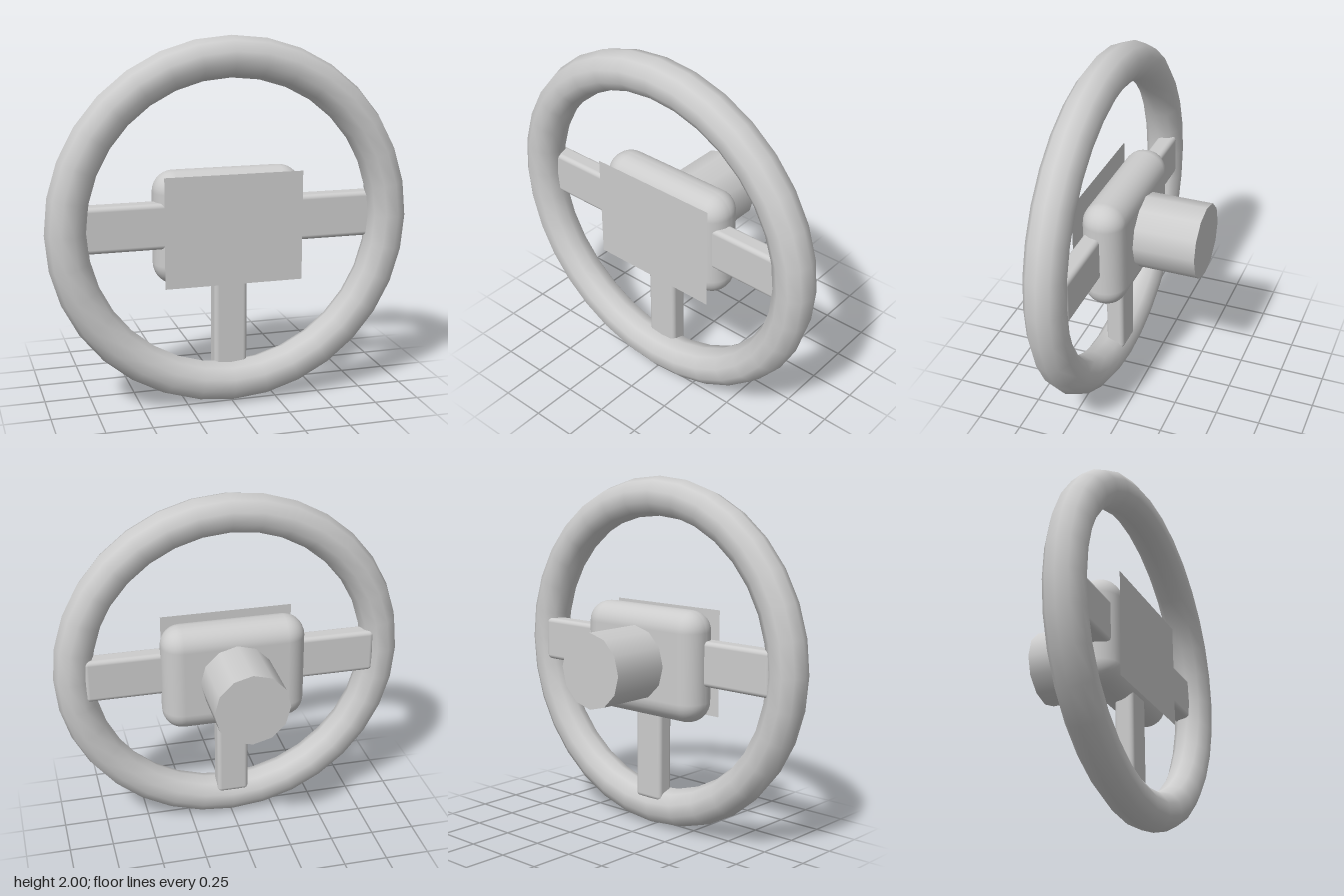
import * as THREE from 'three';
import { RoundedBoxGeometry } from 'three/addons/geometries/RoundedBoxGeometry.js';

export function createModel() {
  const group = new THREE.Group();
  group.name = 'steeringWheel';

  const grey = new THREE.MeshStandardMaterial({ color: 0xcccccc, side: THREE.DoubleSide });
  grey.name = 'light grey';

  const add = (name, geometry, x, y, z) => {
    const mesh = new THREE.Mesh(geometry, grey);
    mesh.name = name;
    mesh.position.set(x, y, z);
    group.add(mesh);
    return mesh;
  };

  const rimZ = 0.225;
  const hubY = 0.98;
  const spokeZ = 0.183;

  // Rim
  add('rim', new THREE.TorusGeometry(0.89, 0.11, 10, 32), 0, 1, rimZ);

  // Hub with a thin flat pad in front of it
  add('hub', new RoundedBoxGeometry(0.82, 0.62, 0.24, 4, 0.115), 0, hubY, 0.14);
  add('hubPad', new THREE.PlaneGeometry(0.76, 0.6), 0, hubY, 0.295);

  // Two side spokes, running from inside the hub to inside the rim
  for (const side of [-1, 1]) {
    add(side > 0 ? 'leftSpoke' : 'rightSpoke',
      new RoundedBoxGeometry(0.6, 0.25, 0.105, 3, 0.025), side * 0.535, 1.005, spokeZ);
  }

  // Lower spoke
  add('lowerSpoke', new RoundedBoxGeometry(0.185, 0.62, 0.105, 3, 0.025), 0, 0.475, spokeZ);

  // Steering column behind the hub
  const column = add('column', new THREE.CylinderGeometry(0.21, 0.21, 0.37, 12), 0, hubY, -0.145);
  column.rotation.x = Math.PI / 2;

  return group;
}
